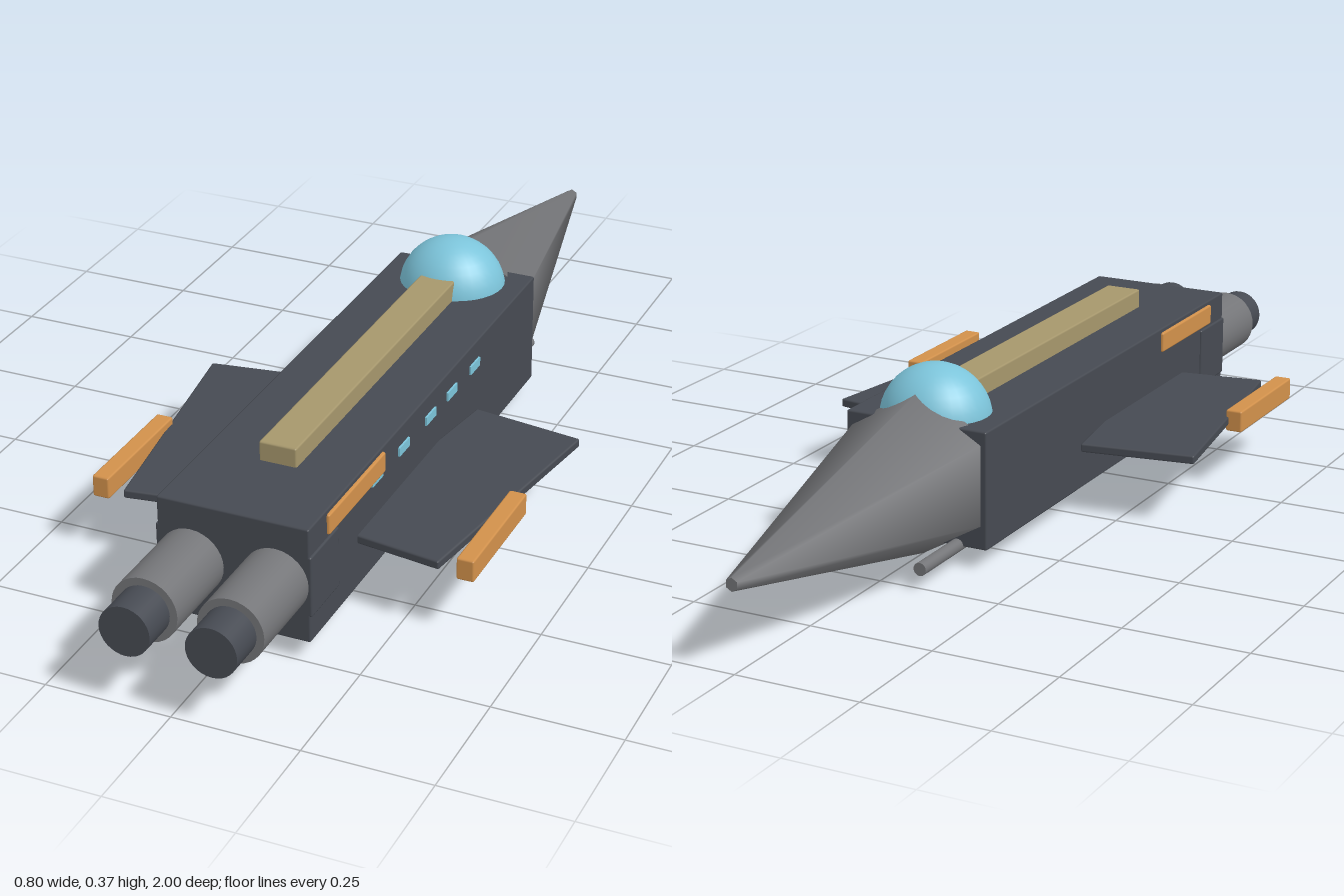
import * as THREE from 'three';
import { RoundedBoxGeometry } from 'three/addons/geometries/RoundedBoxGeometry.js';

const material = (name, color) => {
  const m = new THREE.MeshStandardMaterial({ color });
  m.name = name;
  return m;
};

export function createModel() {
  const ship = new THREE.Group();
  ship.name = 'spaceship';

  const hullDark = material('dark hull', 0x464a52);
  const metal = material('grey metal', 0x747578);
  const orange = material('orange trim', 0xd2914b);
  const tan = material('tan spine', 0xa6976c);
  const glass = material('blue glass', 0x7cc4da);

  const add = (name, geometry, mat, x, y, z) => {
    const mesh = new THREE.Mesh(geometry, mat);
    mesh.name = name;
    mesh.position.set(x, y, z);
    ship.add(mesh);
    return mesh;
  };
  // Box with slightly softened edges
  const box = (name, w, h, d, mat, x, y, z) =>
    add(name, new RoundedBoxGeometry(w, h, d, 1, Math.min(0.004, w / 4, h / 4)), mat, x, y, z);
  // Cylinder running along z from z0 to z1
  const tube = (name, r, z0, z1, mat, x, y) =>
    add(name, new THREE.CylinderGeometry(r, r, z1 - z0, 32).rotateX(Math.PI / 2), mat, x, y, (z0 + z1) / 2);

  // Hull and spine
  box('hull', 0.302, 0.236, 1.105, hullDark, 0, 0.158, 0.1925);
  box('spine', 0.076, 0.06, 0.785, tan, 0, 0.285, 0.1625);

  // Six-sided nose with a ridge at top and bottom
  const nose = new THREE.CylinderGeometry(0.013, 0.166, 0.665, 6).rotateX(-Math.PI / 2);
  add('nose', nose, metal, 0, 0.168, -0.6675);

  // Cockpit dome
  const dome = add('cockpitDome', new THREE.SphereGeometry(1, 32, 20), glass, 0, 0.259, -0.28);
  dome.scale.set(0.111, 0.11, 0.103);

  // Parts mirrored on both sides
  for (const s of [1, -1]) {
    const side = s > 0 ? 'left' : 'right';

    const wing = box(side + 'Wing', 0.233, 0.018, 0.534, hullDark, s * 0.246, 0.141, 0.282);
    wing.rotation.y = -s * 0.147;
    box(side + 'WingPod', 0.035, 0.045, 0.265, orange, s * 0.3725, 0.142, 0.4275);

    box(side + 'OrangePanel', 0.02, 0.042, 0.25, orange, s * 0.147, 0.246, 0.545);
    box(side + 'RearPanel', 0.02, 0.125, 0.12, hullDark, s * 0.145, 0.157, 0.685);

    tube(side + 'Engine', 0.065, 0.7, 0.925, metal, s * 0.084, 0.157);
    tube(side + 'Nozzle', 0.05, 0.9, 1.0, hullDark, s * 0.084, 0.157);
    tube(side + 'Gun', 0.013, -0.505, -0.155, metal, s * 0.088, 0.042);
  }

  // Row of windows on the left flank only
  for (const z of [0.452, 0.327, 0.198, 0.091, -0.027]) {
    add('window', new THREE.BoxGeometry(0.008, 0.018, 0.048), glass, 0.151, 0.228, z);
  }

  return ship;
}
